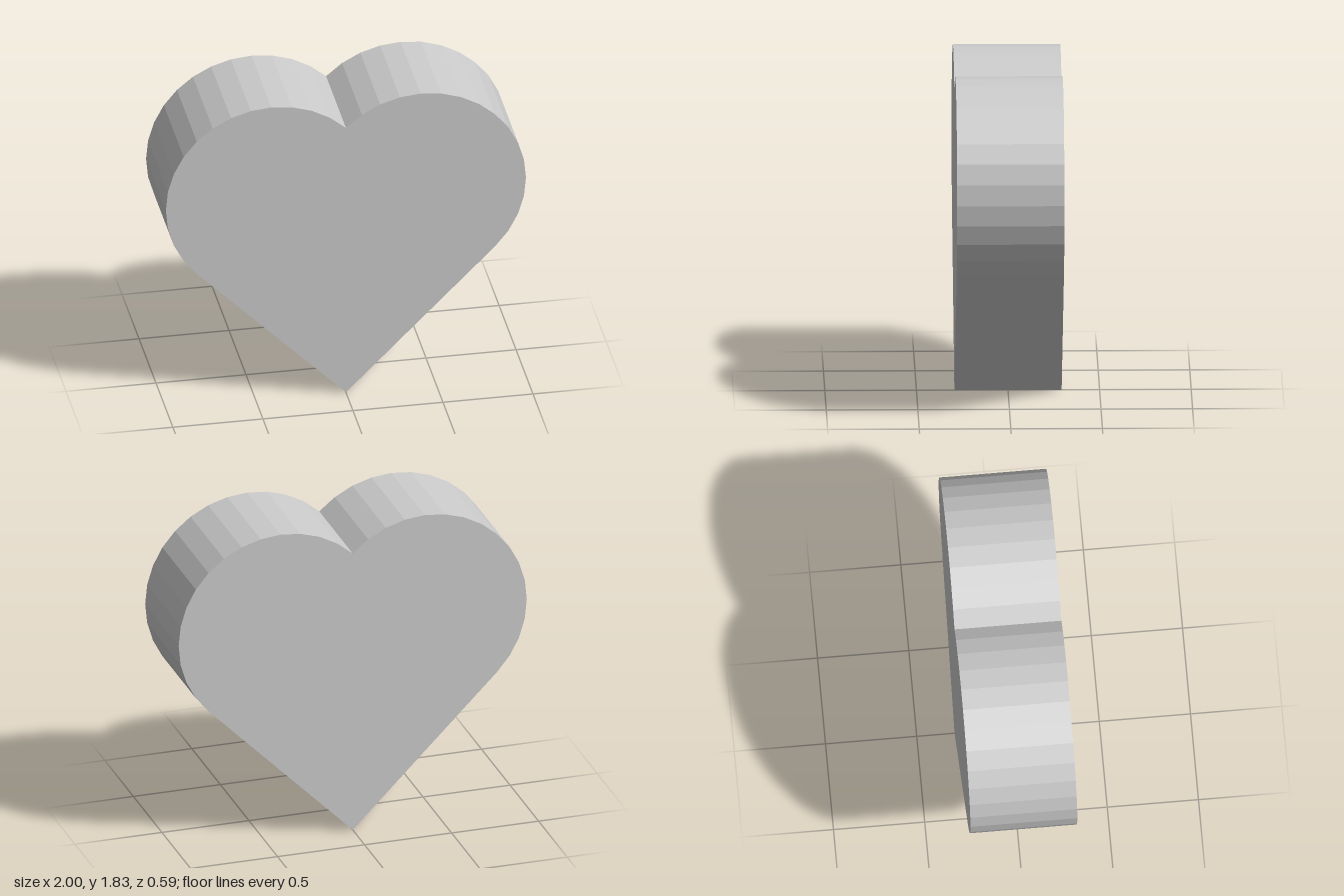
import * as THREE from 'three';

export function createModel() {
  const a = Math.SQRT2 - 1;      // lobe centres sit at (±a, 3a)
  const r = a * Math.SQRT2;      // lobe radius, giving a total width of 2
  const depth = r;
  const steps = 16;              // facets per half-circle lobe

  // Half-circle lobe from the straight flank (-45°) to the notch (135°)
  const lobe = [];
  for (let i = 0; i <= steps; i++) {
    const t = -Math.PI / 4 + (i / steps) * Math.PI;
    lobe.push(new THREE.Vector2(a + r * Math.cos(t), 3 * a + r * Math.sin(t)));
  }

  // Outline: bottom tip, left lobe, then its mirror image without the shared notch
  const mirrored = lobe.slice(0, -1).reverse().map((p) => new THREE.Vector2(-p.x, p.y));
  const outline = new THREE.Shape([new THREE.Vector2(0, 0), ...lobe, ...mirrored]);

  // Solid heart with flat facets
  const geometry = new THREE.ExtrudeGeometry(outline, { depth, bevelEnabled: false });
  geometry.translate(0, 0, -depth / 2);
  const material = new THREE.MeshStandardMaterial({ color: 0xcccccc, flatShading: true });
  const heart = new THREE.Mesh(geometry, material);
  heart.name = 'heart';

  const group = new THREE.Group();
  group.name = 'heartBlock';
  group.add(heart);
  return group;
}
